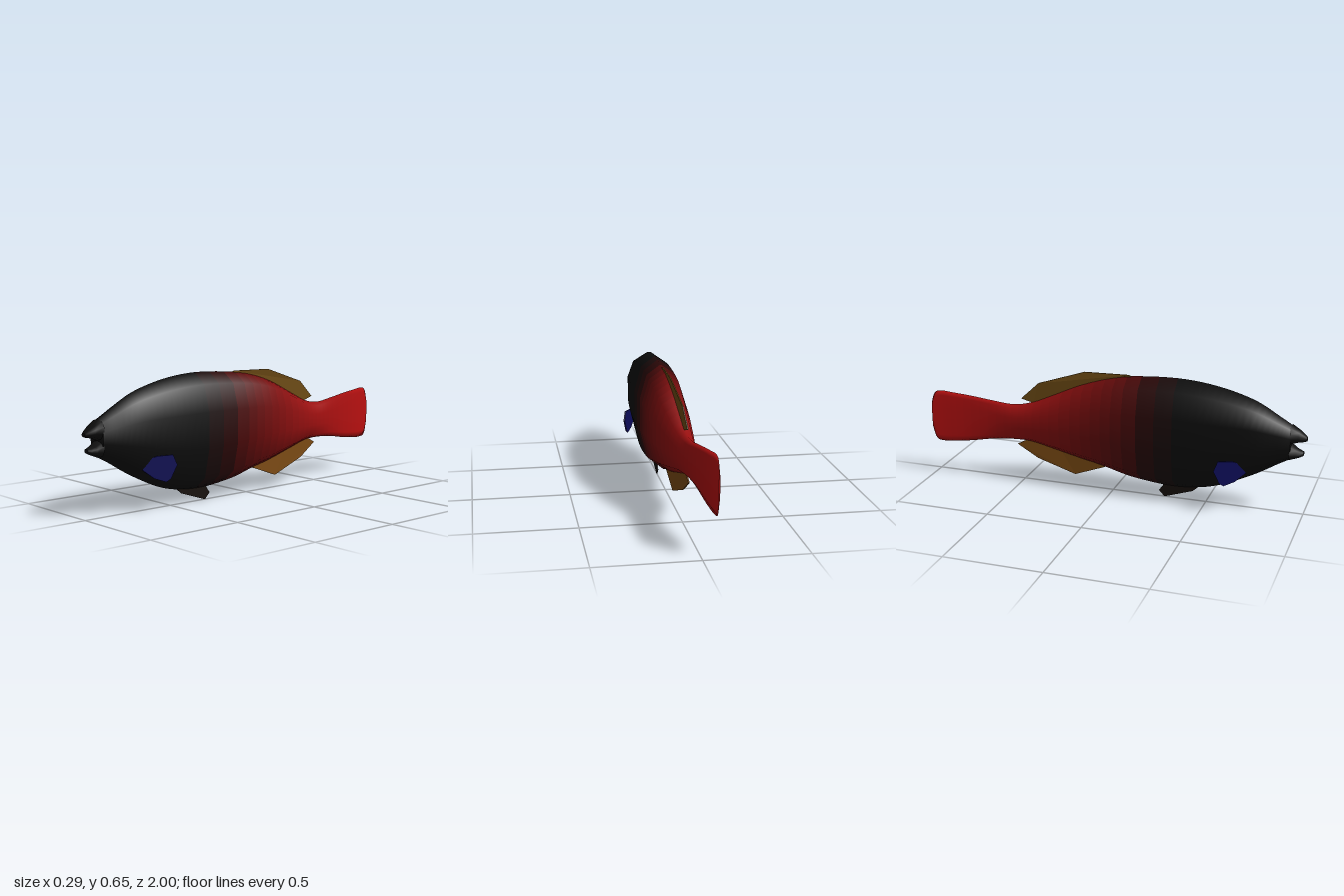
import * as THREE from 'three';

// Ten-sided section, clockwise from the top; x scales the half width, y the half height
const RING = [
  [0, 1], [0.67, 0.81], [1, 0.36], [1, -0.25], [0.68, -0.78],
  [0, -1], [-0.68, -0.78], [-1, -0.25], [-1, 0.36], [-0.67, 0.81],
];

// Body stations: z, top, bottom, half width
const BODY = [
  [0.925, 0.47, 0.293, 0.052], [0.865, 0.506, 0.26, 0.07], [0.73, 0.58, 0.18, 0.097],
  [0.54, 0.632, 0.097, 0.109], [0.34, 0.652, 0.068, 0.112], [0.11, 0.64, 0.09, 0.11],
  [-0.04, 0.615, 0.128, 0.103], [-0.18, 0.57, 0.16, 0.09], [-0.33, 0.5, 0.2, 0.069],
  [-0.45, 0.447, 0.23, 0.049], [-0.55, 0.43, 0.235, 0.031], [-0.66, 0.442, 0.227, 0.014],
  [-0.78, 0.459, 0.207, 0.006], [-0.88, 0.47, 0.195, 0.004], [-0.94, 0.476, 0.193, 0.003],
  [-0.98, 0.463, 0.206, 0.003], [-1, 0.405, 0.27, 0.003],
];
const UPPER_JAW = [
  [1, 0.415, 0.396, 0.014], [0.988, 0.426, 0.391, 0.024], [0.96, 0.447, 0.386, 0.039], [0.92, 0.473, 0.37, 0.053],
];
const LOWER_JAW = [
  [0.986, 0.338, 0.318, 0.016], [0.972, 0.342, 0.31, 0.027], [0.95, 0.352, 0.302, 0.038], [0.92, 0.376, 0.29, 0.051],
];

// Colour stops along z, from black head to red tail
const STOPS = [
  [0.35, 0x0d0d0d], [0.2, 0x290707], [0, 0x640b0b], [-0.3, 0x8e0f0f], [-0.6, 0xa61010], [-1, 0xbc1010],
];

// Sideways swing of the tail
const bend = (z) => (z < -0.1 ? -0.072 * Math.pow((-0.1 - z) / 0.9, 1.3) : 0);

function colorAt(z) {
  if (z >= STOPS[0][0]) return new THREE.Color(STOPS[0][1]);
  const i = Math.max(1, STOPS.findIndex((s) => s[0] <= z));
  const [z0, c0] = STOPS[i - 1], [z1, c1] = STOPS[i];
  return new THREE.Color(c0).lerp(new THREE.Color(c1), (z0 - z) / (z0 - z1));
}

// Smooth resampling of the stations
function resample(stations, count) {
  const curves = [1, 2, 3].map((k) =>
    new THREE.SplineCurve(stations.map((s) => new THREE.Vector2(s[0], s[k]))));
  return Array.from({ length: count + 1 }, (_, i) => {
    const p = curves.map((c) => c.getPoint(i / count));
    return [Math.max(-1, p[0].x), p[0].y, p[1].y, Math.max(0.002, p[2].y)];
  });
}

// Closed loft, with separate vertices for the two end caps
function loft(stations) {
  const n = RING.length, pos = [], idx = [];
  const addRing = ([z, top, bottom, w]) => {
    for (const [u, v] of RING) pos.push(bend(z) + u * w, (top + bottom) / 2 + v * (top - bottom) / 2, z);
  };
  stations.forEach(addRing);
  for (let i = 0; i < stations.length - 1; i++) {
    for (let j = 0; j < n; j++) {
      const a = i * n + j, b = i * n + (j + 1) % n;
      idx.push(a, b, a + n, b, b + n, a + n);
    }
  }
  [stations[0], stations[stations.length - 1]].forEach((s, end) => {
    const base = pos.length / 3;
    addRing(s);
    for (let j = 1; j < n - 1; j++) {
      if (end) idx.push(base, base + j, base + j + 1);
      else idx.push(base, base + j + 1, base + j);
    }
  });
  const g = new THREE.BufferGeometry();
  g.setAttribute('position', new THREE.Float32BufferAttribute(pos, 3));
  g.setIndex(idx);
  g.computeVertexNormals();
  return g;
}

function addMesh(parent, name, geometry, color) {
  const mesh = new THREE.Mesh(geometry, new THREE.MeshStandardMaterial({ color }));
  mesh.name = name;
  parent.add(mesh);
  return mesh;
}

// Thin blade from a [z, y] outline, pushed sideways by a rule of z
function blade(outline, thickness, offset) {
  const shape = new THREE.Shape(outline.map(([z, y]) => new THREE.Vector2(z, y)));
  const g = new THREE.ExtrudeGeometry(shape, { depth: thickness, bevelEnabled: false });
  g.translate(0, 0, -thickness / 2).rotateY(-Math.PI / 2);
  const p = g.attributes.position;
  for (let i = 0; i < p.count; i++) p.setX(i, p.getX(i) + offset(p.getZ(i)));
  g.computeVertexNormals();
  return g;
}

export function createModel() {
  const fish = new THREE.Group();
  fish.name = 'fish';

  // Body and tail, cut into colour bands that share smooth normals
  const body = new THREE.Group();
  body.name = 'body';
  fish.add(body);
  const rings = resample(BODY, 80);
  const full = loft(rings);
  const index = Array.from(full.index.array);
  const perRing = RING.length * 6, capSize = (RING.length - 2) * 3;
  const capStart = index.length - 2 * capSize;
  const last = rings.length - 1;
  let from = 0;
  let to = rings.findIndex((r) => r[0] < STOPS[0][0]);
  while (from < last) {
    const faces = index.slice(from * perRing, to * perRing);
    if (from === 0) faces.push(...index.slice(capStart, capStart + capSize));
    if (to === last) faces.push(...index.slice(capStart + capSize));
    const part = full.clone().setIndex(faces).toNonIndexed();
    const z = (rings[from][0] + rings[to][0]) / 2;
    addMesh(body, from === 0 ? 'head' : z > -0.55 ? 'bodyBand' : 'tailBand', part, colorAt(z));
    from = to;
    to = Math.min(last, to + 2);
  }

  // Open mouth
  addMesh(fish, 'upperJaw', loft(UPPER_JAW), 0x0d0d0d);
  addMesh(fish, 'lowerJaw', loft(LOWER_JAW), 0x121212);

  // Fins on the centre line
  addMesh(fish, 'dorsalFin', blade([
    [0.12, 0.63], [0.08, 0.643], [-0.155, 0.637], [-0.405, 0.556], [-0.5, 0.466],
    [-0.435, 0.447], [-0.33, 0.47], [-0.18, 0.54], [-0.04, 0.59],
  ], 0.006, bend), 0x6e4c15);
  addMesh(fish, 'analFin', blade([
    [-0.03, 0.15], [-0.045, 0.128], [-0.21, 0.068], [-0.415, 0.14], [-0.525, 0.21],
    [-0.45, 0.25], [-0.3, 0.22],
  ], 0.006, bend), 0x7c4b14);
  addMesh(fish, 'pelvicFin', blade([
    [0.48, 0.1], [0.43, 0.055], [0.28, 0.005], [0.25, 0.037], [0.27, 0.065], [0.28, 0.1],
  ], 0.006, bend), 0x17100c);

  // Pectoral fins, flaring outward to the rear
  for (const side of [1, -1]) {
    const flare = (z) => side * (0.142 - (z - 0.565) * 0.52);
    addMesh(fish, side > 0 ? 'leftPectoralFin' : 'rightPectoralFin', blade([
      [0.715, 0.215], [0.7, 0.265], [0.65, 0.28], [0.585, 0.284], [0.567, 0.235],
      [0.595, 0.168], [0.615, 0.153], [0.665, 0.172],
    ], 0.007, flare), 0x0c0c58);
  }

  return fish;
}
